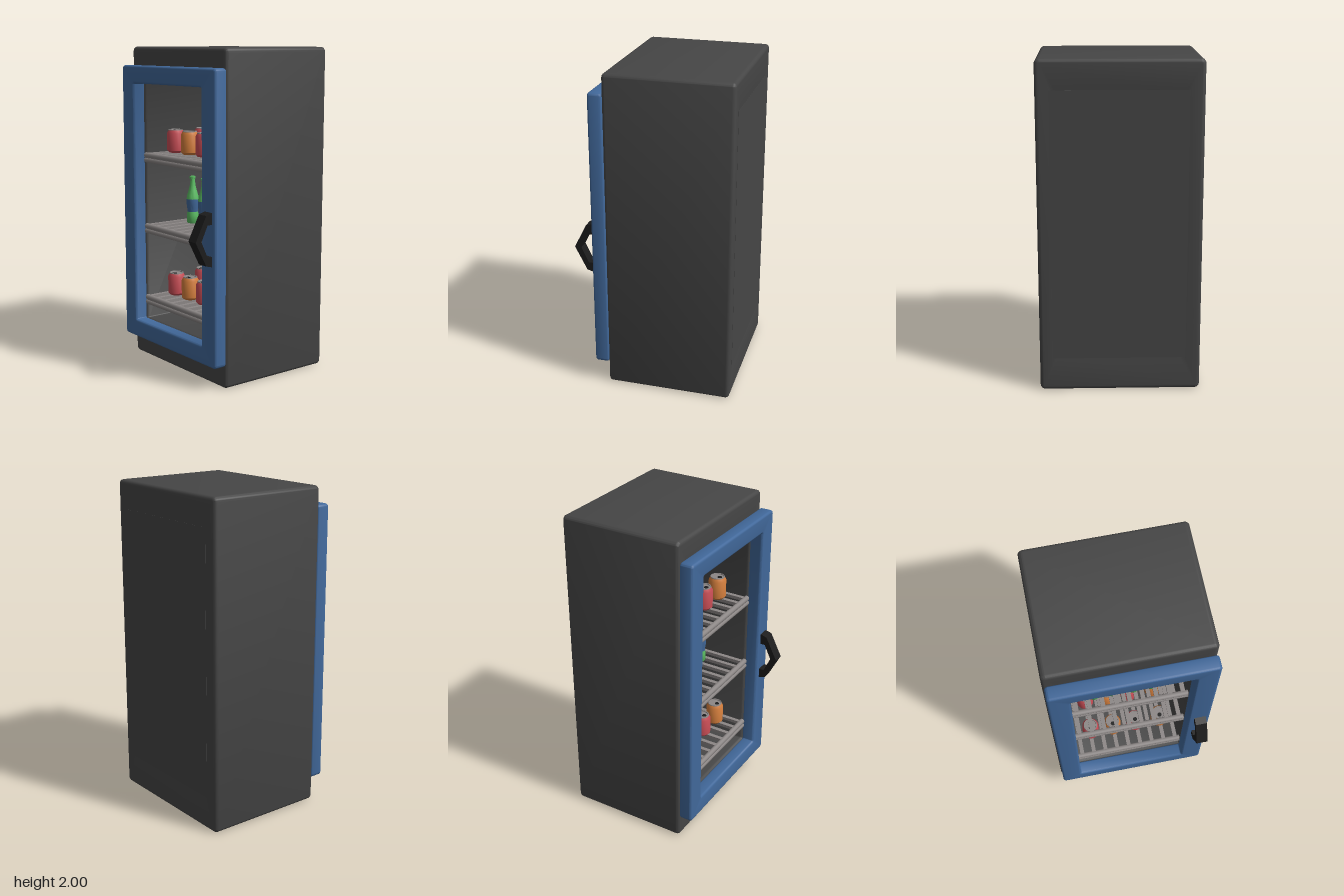
import * as THREE from 'three';
import { toCreasedNormals } from 'three/addons/utils/BufferGeometryUtils.js';

const mat = (name, color, side = THREE.FrontSide) => {
  const m = new THREE.MeshStandardMaterial({ color, side });
  m.name = name;
  return m;
};

// Rounded rectangle outline
function roundRect(path, x0, y0, x1, y1, r) {
  path.moveTo(x0 + r, y0);
  path.lineTo(x1 - r, y0);
  path.absarc(x1 - r, y0 + r, r, -Math.PI / 2, 0);
  path.lineTo(x1, y1 - r);
  path.absarc(x1 - r, y1 - r, r, 0, Math.PI / 2);
  path.lineTo(x0 + r, y1);
  path.absarc(x0 + r, y1 - r, r, Math.PI / 2, Math.PI);
  path.lineTo(x0, y0 + r);
  path.absarc(x0 + r, y0 + r, r, Math.PI, Math.PI * 1.5);
  return path;
}

// Bevelled frame; outer and hole are [x0, y0, x1, y1] finished sizes
function frameGeometry(outer, hole, z0, z1, b) {
  const [x0, y0, x1, y1] = outer, [u0, v0, u1, v1] = hole;
  const shape = roundRect(new THREE.Shape(), x0 + b, y0 + b, x1 - b, y1 - b, 0.008);
  shape.holes.push(roundRect(new THREE.Path(), u0 - b, v0 - b, u1 + b, v1 + b, b + 0.008));
  const g = new THREE.ExtrudeGeometry(shape, {
    depth: z1 - z0 - 2 * b, bevelEnabled: true, bevelSize: b, bevelThickness: b,
    bevelSegments: 4, curveSegments: 5,
  });
  g.translate(0, 0, z0 + b);
  return toCreasedNormals(g, 0.6);
}

const lathe = (pts, seg = 20) => toCreasedNormals(
  new THREE.LatheGeometry(pts.map(p => new THREE.Vector2(p[0], p[1])), seg), 0.6);

export function createModel() {
  const root = new THREE.Group();
  root.name = 'drinksFridge';
  const charcoal = mat('charcoal', 0x464646);
  const blue = mat('blue', 0x41689a);
  const black = mat('black', 0x1c1c1c);
  const steel = mat('steel', 0x8c8786);
  const red = mat('red', 0xc64c54);
  const orange = mat('orange', 0xd27d3c);
  const green = mat('green', 0x5abb62);

  const add = (parent, name, geo, material, x = 0, y = 0, z = 0) => {
    const m = new THREE.Mesh(geo, material);
    m.name = name;
    m.position.set(x, y, z);
    parent.add(m);
    return m;
  };

  // Cabinet: hollow shell closed by a back panel
  add(root, 'cabinet', frameGeometry([-0.487, 0, 0.479, 2], [-0.355, 0.25, 0.355, 1.78],
    -0.487, 0.285, 0.022), charcoal);
  add(root, 'backPanel', new THREE.BoxGeometry(0.8, 1.62, 0.038), charcoal, 0, 1.015, -0.469);

  // Door frame
  add(root, 'doorFrame', frameGeometry([-0.478, 0.14, 0.485, 1.885], [-0.35, 0.255, 0.35, 1.775],
    0.284, 0.37, 0.015), blue);

  // Angular handle, drawn as a (z, y) profile and extruded across x
  const grip = new THREE.Shape([
    [0.365, 1.07], [0.365, 1.0], [0.402, 1.0], [0.446, 0.908], [0.402, 0.812], [0.365, 0.812],
    [0.365, 0.75], [0.412, 0.762], [0.487, 0.908], [0.412, 1.056],
  ].map(p => new THREE.Vector2(p[0], p[1])));
  const gripGeo = new THREE.ExtrudeGeometry(grip, { depth: 0.07, bevelEnabled: false });
  gripGeo.rotateY(-Math.PI / 2);
  add(root, 'handle', gripGeo, black, 0.457, 0, 0);

  // Wire shelves: rails across, slats front to back
  const railGeo = new THREE.CylinderGeometry(0.017, 0.017, 0.698, 12).rotateZ(Math.PI / 2);
  const slatGeo = new THREE.BoxGeometry(0.026, 0.02, 0.72);
  function shelf(top) {
    const g = new THREE.Group();
    g.name = 'shelf';
    g.position.y = top;
    root.add(g);
    for (const z of [0.28, -0.43]) {
      add(g, 'upperRail', railGeo, steel, 0, -0.017, z);
      add(g, 'lowerRail', railGeo, steel, 0, -0.048, z);
      add(g, 'railWeb', new THREE.BoxGeometry(0.698, 0.03, 0.02), steel, 0, -0.033, z);
    }
    for (let i = 0; i < 9; i++) add(g, 'slat', slatGeo, steel, -0.32 + i * 0.08, -0.012, -0.075);
  }

  // Cans
  const canGeo = lathe([[0, 0], [0.042, 0], [0.055, 0.014], [0.055, 0.122], [0.044, 0.142], [0.041, 0.142]]);
  const lidGeo = lathe([[0.045, 0.141], [0.044, 0.146], [0.039, 0.146], [0.037, 0.14], [0, 0.14]]);
  const tabGeo = new THREE.CylinderGeometry(0.014, 0.014, 0.004, 10);
  function can(x, y, z, color) {
    const g = new THREE.Group();
    g.name = 'can';
    g.position.set(x, y, z);
    root.add(g);
    add(g, 'canBody', canGeo, color);
    add(g, 'canLid', lidGeo, steel);
    add(g, 'canOpening', tabGeo, black, 0, 0.141, 0.016);
  }

  // Bottles: green glass with a blue label band
  const baseGeo = lathe([[0, 0], [0.034, 0], [0.038, 0.008], [0.038, 0.05], [0.034, 0.074]]);
  const labelGeo = lathe([[0.034, 0.074], [0.036, 0.1], [0.04, 0.125], [0.04, 0.155]]);
  const neckGeo = lathe([[0.04, 0.155], [0.036, 0.178], [0.026, 0.212], [0.018, 0.245], [0.014, 0.285],
    [0.019, 0.287], [0.019, 0.302], [0, 0.302]]);
  function bottle(x, y, z) {
    const g = new THREE.Group();
    g.name = 'bottle';
    g.position.set(x, y, z);
    root.add(g);
    add(g, 'bottleBase', baseGeo, green);
    add(g, 'bottleLabel', labelGeo, blue);
    add(g, 'bottleNeck', neckGeo, green);
  }

  // Stock the three shelves, two rows each
  [0.41, 0.88, 1.338].forEach(shelf);
  for (const y of [0.41, 1.338]) {
    for (const z of [0.13, -0.085]) {
      [-0.235, -0.085, 0.067, 0.235].forEach((x, i) => can(x, y, z, i % 2 ? orange : red));
    }
  }
  for (const z of [0.035, -0.21]) {
    for (const x of [-0.185, -0.063, 0.07, 0.19]) bottle(x, 0.88, z);
  }
  return root;
}
